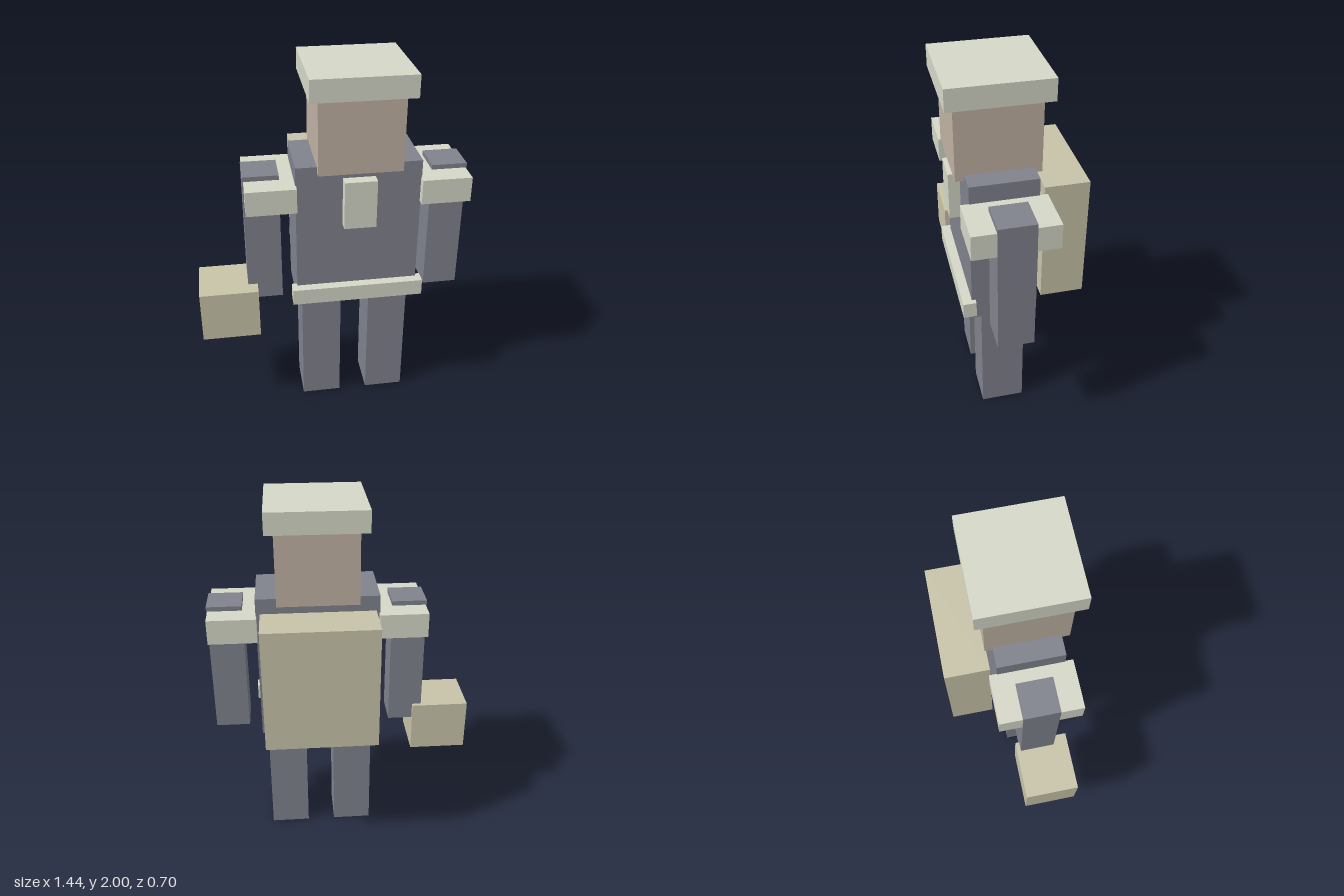
import * as THREE from 'three';

const CENTRE = 0.132; // the body's own middle; the hand-held case shifts it off x = 0

const material = (color) => new THREE.MeshStandardMaterial({ color });

// Box with its middle at x, spanning the given y and z ranges
function block(name, mat, x, width, [y0, y1], [z0, z1]) {
  const mesh = new THREE.Mesh(new THREE.BoxGeometry(width, y1 - y0, z1 - z0), mat);
  mesh.position.set(x, (y0 + y1) / 2, (z0 + z1) / 2);
  mesh.name = name;
  return mesh;
}

export function createModel() {
  const slate = material(0x80828d);
  const pale = material(0xd6d8c8);
  const skin = material(0xc0b2a3);
  const khaki = material(0xc8c4a9);

  const model = new THREE.Group();
  model.name = 'blockFigure';

  const body = new THREE.Group();
  body.name = 'body';
  body.position.x = CENTRE;
  model.add(body);

  // Head, torso and what is worn on them
  body.add(
    block('torso', slate, 0, 0.654, [0.695, 1.52], [-0.09, 0.26]),
    block('head', skin, 0, 0.434, [1.49, 1.89], [-0.13, 0.305]),
    block('cap', pale, 0, 0.524, [1.885, 2], [-0.175, 0.348]),
    block('chestPlate', pale, 0, 0.168, [1.187, 1.45], [0.24, 0.32]),
    block('belt', pale, 0, 0.71, [0.73, 0.82], [0.24, 0.31]),
    block('backpack', khaki, 0, 0.608, [0.76, 1.45], [-0.352, -0.12]),
  );

  // Mirrored limbs and shoulder pads
  for (const [side, s] of [['left', 1], ['right', -1]]) {
    body.add(
      block(side + 'Arm', slate, s * 0.495, 0.188, [0.71, 1.45], [-0.01, 0.18]),
      block(side + 'ShoulderPad', pale, s * 0.453, 0.26, [1.29, 1.425], [-0.13, 0.303]),
      block(side + 'Leg', slate, s * 0.188, 0.218, [0, 0.7], [-0.03, 0.205]),
    );
  }

  // Case beside the right hand
  model.add(block('case', khaki, -0.565, 0.318, [0.51, 0.8], [-0.032, 0.26]));

  return model;
}
